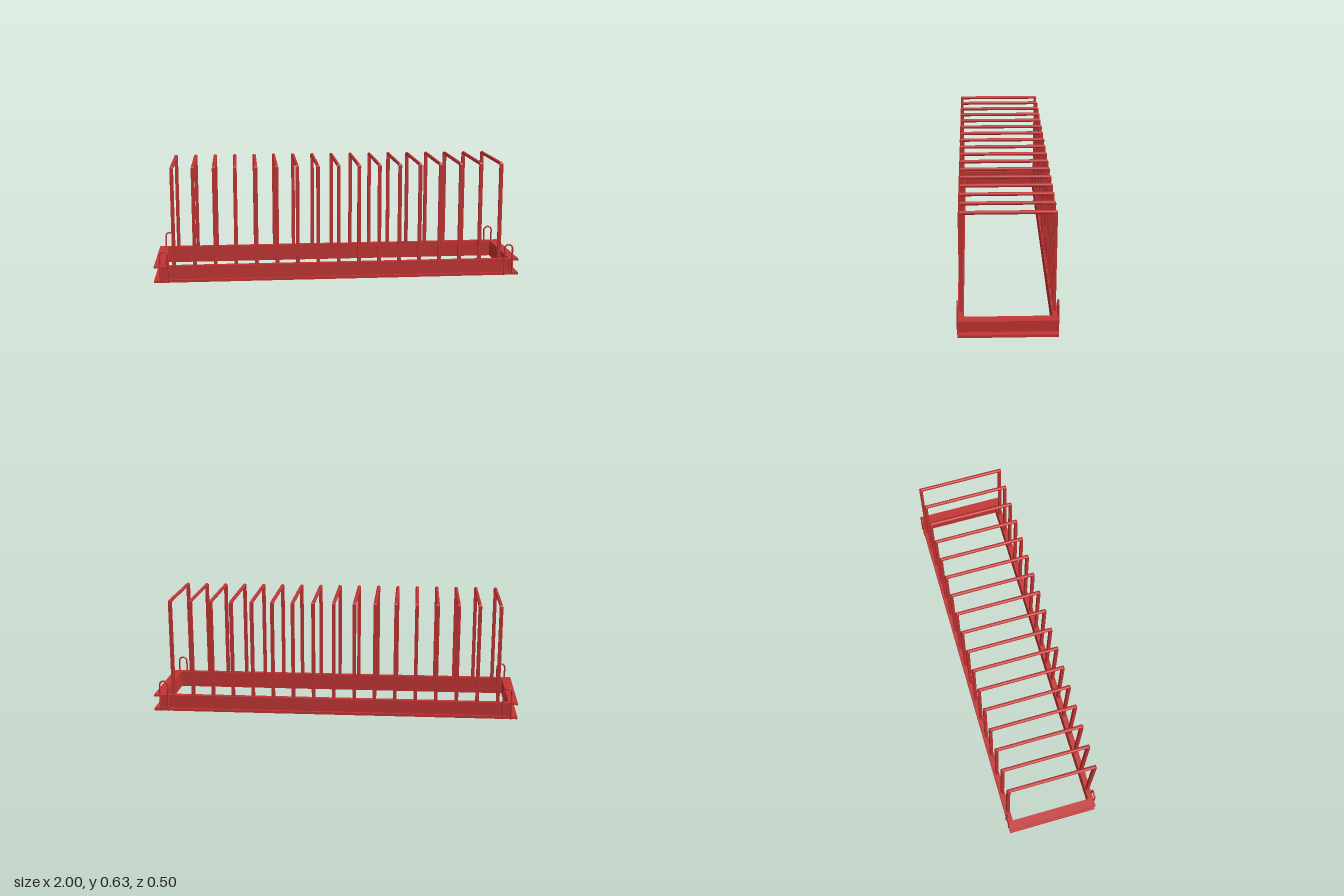
import * as THREE from 'three';

const red = new THREE.MeshStandardMaterial({ color: 0xc43434 });
red.name = 'red paint';

function add(parent, geometry, name, x = 0, y = 0, z = 0) {
  const mesh = new THREE.Mesh(geometry, red);
  mesh.name = name;
  mesh.position.set(x, y, z);
  parent.add(mesh);
  return mesh;
}

// box given by its limits on each axis
function span(parent, name, [x0, x1], [y0, y1], [z0, z1]) {
  const g = new THREE.BoxGeometry(x1 - x0, y1 - y0, z1 - z0);
  return add(parent, g, name, (x0 + x1) / 2, (y0 + y1) / 2, (z0 + z1) / 2);
}

// outward-facing channel beams of the base, built at +x / +z and turned for the far side
const BOTTOM = [0, 0.014], WEB = [0.014, 0.08], TOP = [0.08, 0.091];

function longRail() {
  const rail = new THREE.Group();
  rail.name = 'longRail';
  span(rail, 'bottomFlange', [-0.95, 0.95], BOTTOM, [0.218, 0.247]);
  span(rail, 'web', [-0.965, 0.965], WEB, [0.218, 0.233]);
  span(rail, 'topFlange', [-0.95, 0.95], TOP, [0.218, 0.247]);
  return rail;
}

function endRail() {
  const rail = new THREE.Group();
  rail.name = 'endRail';
  span(rail, 'bottomFlange', [0.95, 1], BOTTOM, [-0.247, 0.247]);
  span(rail, 'web', [0.95, 0.968], WEB, [-0.242, 0.242]);
  span(rail, 'topFlange', [0.95, 1], TOP, [-0.247, 0.247]);
  return rail;
}

// round top bar with its upper ends bevelled
function topBarGeometry() {
  const g = new THREE.CylinderGeometry(0.0095, 0.0095, 0.476, 12).rotateX(Math.PI / 2);
  const p = g.attributes.position;
  for (let i = 0; i < p.count; i++) {
    const y = p.getY(i), z = p.getZ(i);
    p.setZ(i, z - Math.sign(z) * Math.max(0, y) * 0.95);
  }
  g.computeVertexNormals();
  return g;
}

// upright loop welded to the base corner for lifting
function liftingLoop(x, z) {
  const loop = new THREE.Group();
  loop.name = 'liftingLoop';
  const r = 0.0045, bend = 0.022, h = 0.149;
  for (const s of [-1, 1]) {
    add(loop, new THREE.CylinderGeometry(r, r, h, 10), 'loopLeg', s * bend, h / 2, 0);
  }
  add(loop, new THREE.TorusGeometry(bend, r, 10, 16, Math.PI), 'loopBend', 0, h, 0);
  loop.position.set(x, 0, z);
  return loop;
}

export function createModel() {
  const model = new THREE.Group();
  model.name = 'storageRack';

  // base frame
  for (const turn of [0, Math.PI]) {
    for (const rail of [longRail(), endRail()]) {
      rail.rotation.y = turn;
      model.add(rail);
    }
  }

  // row of dividing hoops
  const post = new THREE.BoxGeometry(0.019, 0.531, 0.016);
  const bar = topBarGeometry();
  const count = 17;
  for (let i = 0; i < count; i++) {
    const hoop = new THREE.Group();
    hoop.name = 'dividerHoop';
    hoop.position.x = -0.892 + (1.784 * i) / (count - 1);
    for (const s of [-1, 1]) add(hoop, post, 'post', 0, 0.3555, s * 0.23);
    add(hoop, bar, 'topBar', 0, 0.6205, 0);
    model.add(hoop);
  }

  // lifting loops at the four corners
  for (const sx of [-1, 1]) {
    for (const sz of [-1, 1]) model.add(liftingLoop(sx * 0.9435, sz * 0.2465));
  }
  return model;
}
